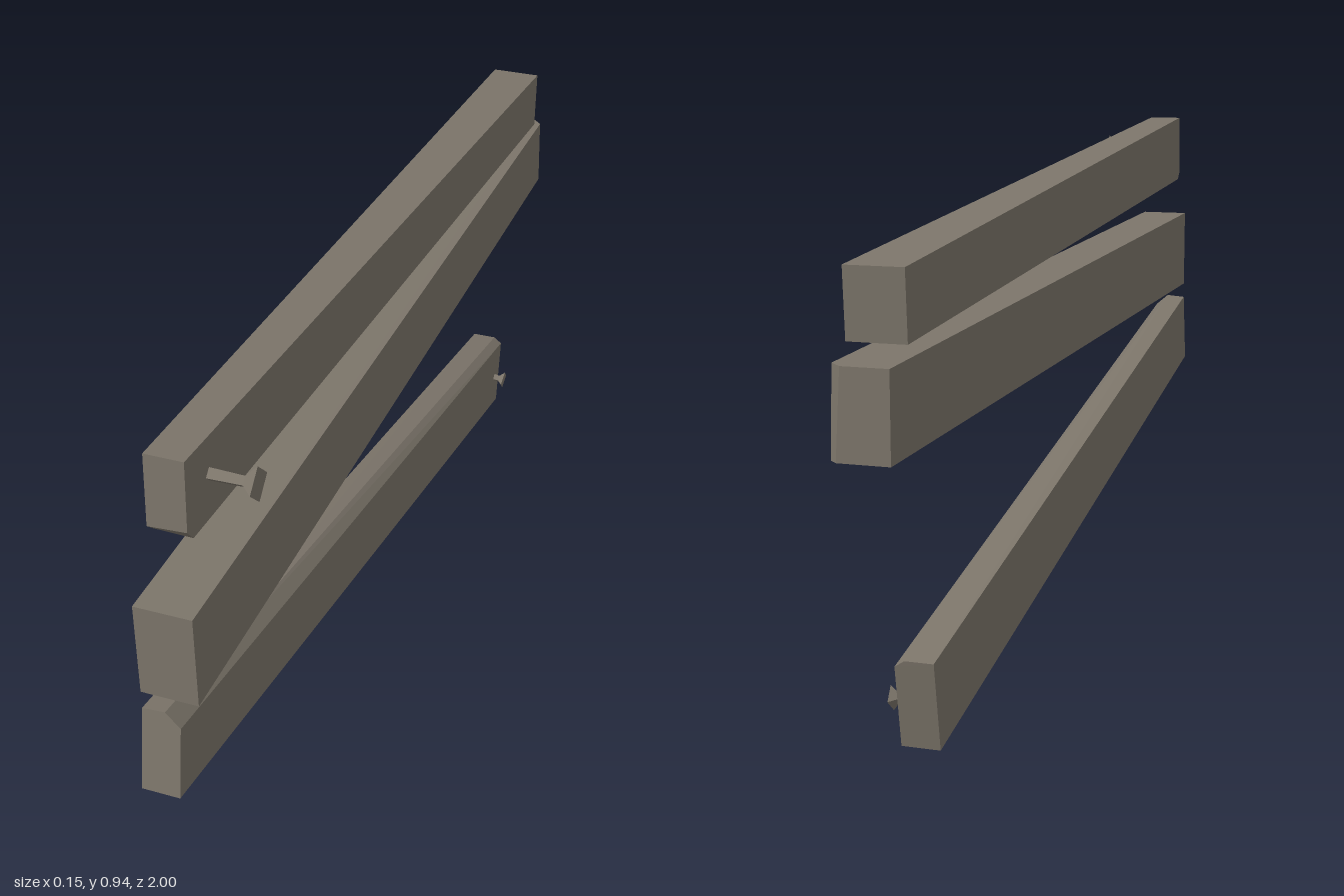
import * as THREE from 'three';
import { ConvexGeometry } from 'three/addons/geometries/ConvexGeometry.js';

const wood = new THREE.MeshStandardMaterial({ color: 0x7c756a, flatShading: true });
wood.name = 'weathered wood';

// Rough-cut plank spanned by its corner points
function plank(name, corners) {
  const points = corners.map((c) => new THREE.Vector3(...c));
  const mesh = new THREE.Mesh(new ConvexGeometry(points), wood);
  mesh.name = name;
  return mesh;
}

// Four-sided nail pointing along +x: thin shaft and flared head
function nail(name, length, shaftR, headR, headLength) {
  const group = new THREE.Group();
  group.name = name;
  const shaftLength = length - headLength;
  const shaft = new THREE.Mesh(new THREE.CylinderGeometry(shaftR * 0.85, shaftR, shaftLength, 4), wood);
  shaft.name = 'nailShaft';
  shaft.position.y = shaftLength / 2;
  const head = new THREE.Mesh(new THREE.CylinderGeometry(headR, shaftR * 0.85, headLength, 4), wood);
  head.name = 'nailHead';
  head.position.y = length - headLength / 2;
  group.add(shaft, head);
  group.rotation.z = -Math.PI / 2;
  return group;
}

export function createModel() {
  const model = new THREE.Group();
  model.name = 'brokenFencePlanks';
  const L = -0.077, N = -0.008, W = 0.025; // left face, narrow and wide right faces

  // Upper plank: widens to the back, nicked lower front edge
  model.add(plank('upperPlank', [
    [L, 0.94, 0.897], [N, 0.94, 0.897],
    [L, 0.808, 0.904], [N, 0.812, 0.904],
    [L, 0.793, 0.888], [N, 0.788, 0.884],
    [L, 0.818, -0.932], [W, 0.818, -0.932],
    [L, 0.699, -0.924], [W, 0.699, -0.924],
  ]));

  // Middle plank: chipped right corner at the back end
  model.add(plank('middlePlank', [
    [L, 0.702, 0.973], [W, 0.702, 0.973],
    [L, 0.526, 0.973], [W, 0.526, 0.973],
    [L, 0.676, -1], [0.003, 0.676, -1], [W, 0.676, -0.978],
    [L, 0.527, -1], [0.012, 0.527, -1], [W, 0.527, -0.988],
  ]));

  // Lower plank: slanted, bevelled along its upper right edge
  model.add(plank('lowerPlank', [
    [L, 0.492, 0.974], [-0.036, 0.495, 0.974], [N, 0.471, 0.978],
    [L, 0.337, 1], [N, 0.337, 1],
    [L, 0.159, -0.83], [-0.026, 0.159, -0.83], [N, 0.147, -0.828],
    [L, 0, -0.802], [N, 0, -0.802],
  ]));

  const upperNail = nail('upperNail', 0.087, 0.013, 0.034, 0.022);
  upperNail.position.set(-0.011, 0.866, 0.818);
  const lowerNail = nail('lowerNail', 0.03, 0.01, 0.022, 0.012);
  lowerNail.position.set(-0.014, 0.077, -0.78);
  lowerNail.rotation.z -= 0.12;
  model.add(upperNail, lowerNail);
  return model;
}
